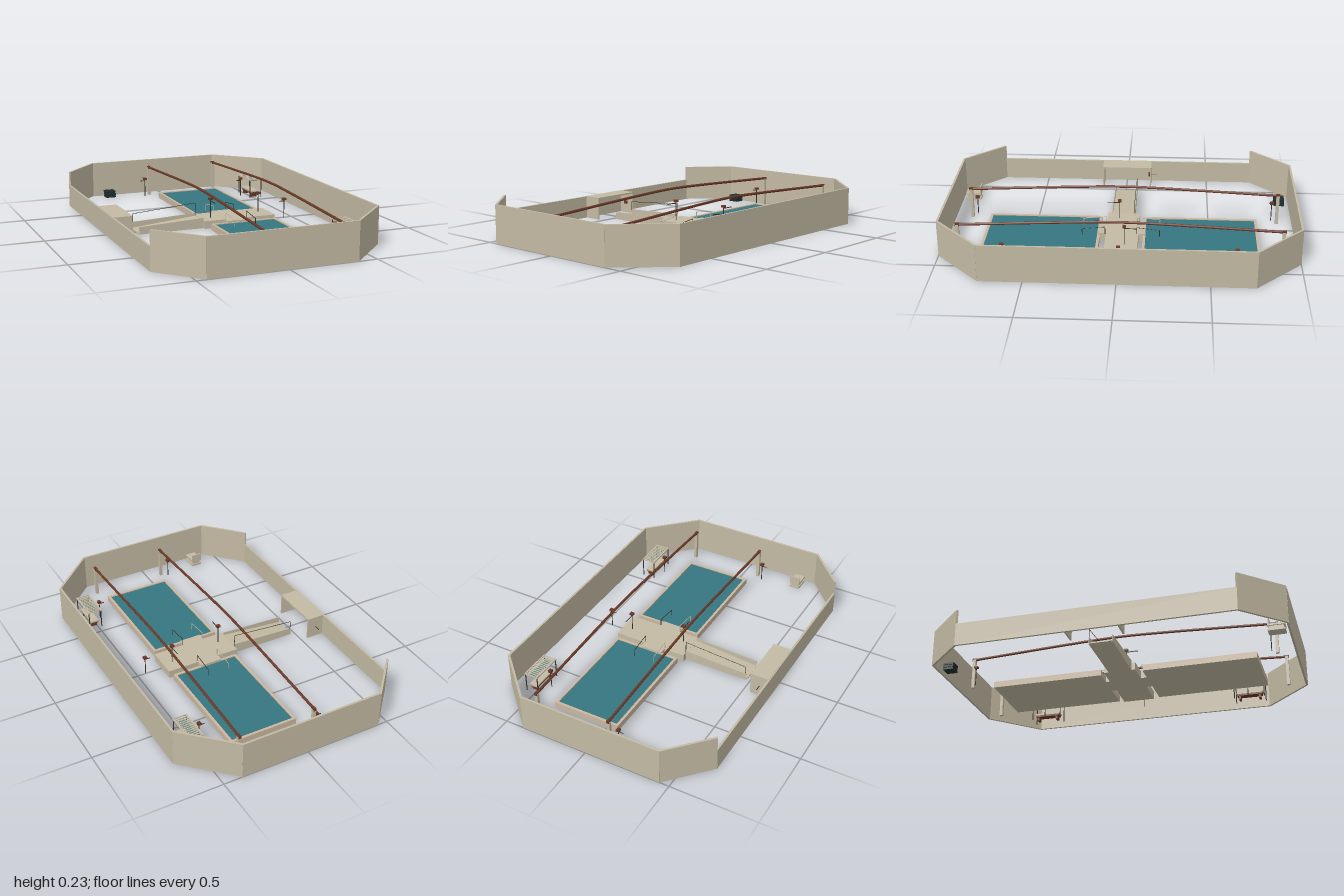
import * as THREE from 'three';

const mat = (name, color) => {
  const m = new THREE.MeshStandardMaterial({ color });
  m.name = name;
  return m;
};

export function createModel() {
  const model = new THREE.Group();
  model.name = 'poolCourt';
  const stone = mat('stone', 0xc3baa3);
  const coping = mat('coping', 0xcbb79f);
  const water = mat('water', 0x367681);
  const rust = mat('rust', 0x6b3826);
  const iron = mat('iron', 0x38322c);
  const darkGreen = mat('darkGreen', 0x1f2e2c);

  const group = (name, x = 0, y = 0, z = 0, parent = model) => {
    const g = new THREE.Group();
    g.name = name;
    g.position.set(x, y, z);
    parent.add(g);
    return g;
  };
  const add = (name, geo, m, parent = model) => {
    const mesh = new THREE.Mesh(geo, m);
    mesh.name = name;
    parent.add(mesh);
    return mesh;
  };
  // Box given by its lower and upper limits on each axis
  const box = (name, m, [x0, x1], [y0, y1], [z0, z1], parent = model) => {
    const b = add(name, new THREE.BoxGeometry(x1 - x0, y1 - y0, z1 - z0), m, parent);
    b.position.set((x0 + x1) / 2, (y0 + y1) / 2, (z0 + z1) / 2);
    return b;
  };
  // Thin round bar between two points
  const rod = (name, m, a, b, r, parent = model) => {
    const p = new THREE.Vector3(...a), q = new THREE.Vector3(...b);
    const bar = add(name, new THREE.CylinderGeometry(r, r, p.distanceTo(q), 6), m, parent);
    bar.position.copy(p).add(q).multiplyScalar(0.5);
    bar.quaternion.setFromUnitVectors(new THREE.Vector3(0, 1, 0), q.sub(p).normalize());
    return bar;
  };

  // Perimeter walls, the one on the model's right being lower
  const corners = [[-0.649, -0.77], [-0.442, -0.994], [0.39, -0.994], [0.649, -0.74],
    [0.649, 0.74], [0.39, 0.994], [-0.442, 0.994], [-0.649, 0.77]];
  const walls = group('perimeterWalls');
  corners.forEach(([x0, z0], i) => {
    const [x1, z1] = corners[(i + 1) % corners.length];
    const h = i === 7 ? 0.13 : 0.215;
    const w = add(i === 7 ? 'lowWall' : 'wall',
      new THREE.BoxGeometry(Math.hypot(x1 - x0, z1 - z0) + 0.004, h, 0.012), stone, walls);
    w.position.set((x0 + x1) / 2, h / 2, (z0 + z1) / 2);
    w.rotation.y = -Math.atan2(z1 - z0, x1 - x0);
  });

  // Two pools, each with a floor, a coping and water
  for (const [z0, z1] of [[-0.78, -0.125], [0.12, 0.775]]) {
    const pool = group('pool');
    const x0 = -0.065, x1 = 0.335, t = 0.015;
    box('poolFloor', stone, [x0, x1], [0, 0.006], [z0, z1], pool);
    for (const x of [x0, x1 - t]) box('sideCoping', coping, [x, x + t], [0.006, 0.036], [z0, z1], pool);
    for (const z of [z0, z1 - t]) box('endCoping', coping, [x0 + t, x1 - t], [0.006, 0.036], [z, z + t], pool);
    box('water', water, [x0 + t, x1 - t], [0.006, 0.031], [z0 + t, z1 - t], pool);
  }

  // Cross-shaped central platform
  const cross = new THREE.Shape([[-0.09, -0.085], [0.035, -0.085], [0.035, -0.13], [0.165, -0.13],
    [0.165, -0.085], [0.35, -0.085], [0.35, 0.1], [0.165, 0.1], [0.165, 0.14], [0.035, 0.14],
    [0.035, 0.1], [-0.09, 0.1]].map(p => new THREE.Vector2(...p)));
  add('platform', new THREE.ExtrudeGeometry(cross, { depth: 0.045, bevelEnabled: false }), stone)
    .rotation.x = -Math.PI / 2;

  // Sloping walkway with clipped end corners and thin side curbs
  const plan = new THREE.Shape([[-0.48, -0.05], [-0.47, -0.062], [-0.09, -0.062], [-0.09, 0.068],
    [-0.47, 0.068], [-0.48, 0.056]].map(p => new THREE.Vector2(...p)));
  const rampGeo = new THREE.ExtrudeGeometry(plan, { depth: 1, bevelEnabled: false });
  rampGeo.rotateX(-Math.PI / 2);
  const rp = rampGeo.attributes.position;
  for (let i = 0; i < rp.count; i++) {
    if (rp.getY(i) > 0.5) rp.setY(i, 0.008 + 0.036 * (rp.getX(i) + 0.48) / 0.39);
  }
  rampGeo.computeVertexNormals();
  add('ramp', rampGeo, stone);
  const curb = new THREE.Shape([[-0.475, 0], [-0.09, 0], [-0.09, 0.06], [-0.475, 0.042]]
    .map(p => new THREE.Vector2(...p)));
  for (const z of [-0.071, 0.06]) {
    add('rampCurb', new THREE.ExtrudeGeometry(curb, { depth: 0.003, bevelEnabled: false }), stone)
      .position.z = z;
  }
  const rail = group('rampHandrail');
  rod('railBar', iron, [-0.47, 0.09, -0.069], [-0.09, 0.12, -0.069], 0.0015, rail);
  rod('railPost', iron, [-0.47, 0.02, -0.069], [-0.47, 0.09, -0.069], 0.0015, rail);
  rod('railPost', iron, [-0.09, 0.04, -0.069], [-0.09, 0.12, -0.069], 0.0015, rail);

  // Handrails reaching from the platform over the pools
  for (const s of [-1, 1]) {
    for (const [x, m] of [[0.165, iron], [0.037, stone]]) {
      const r = group('poolHandrail', x);
      rod('railBar', m, [0, 0.085, s * 0.09], [0, 0.07, s * 0.22], 0.002, r);
      rod('railPost', m, [0, 0.04, s * 0.09], [0, 0.085, s * 0.09], 0.002, r);
      rod('railPost', m, [0, 0.03, s * 0.22], [0, 0.07, s * 0.22], 0.002, r);
    }
  }

  // Two gently arched overhead beams on end posts
  const arch = [[-0.91, 0.18], [-0.6, 0.195], [-0.3, 0.209], [-0.07, 0.217],
    [0.07, 0.217], [0.3, 0.209], [0.6, 0.195], [0.9, 0.18]];
  for (const x of [-0.09, 0.358]) {
    const frame = group('overheadBeam', x);
    const path = new THREE.CatmullRomCurve3(arch.map(([z, y]) => new THREE.Vector3(0, y, z)));
    add('beam', new THREE.TubeGeometry(path, 28, 0.0075, 8), rust, frame);
    for (const z of [-0.9, 0.892]) {
      box('beamPost', stone, [-0.009, 0.009], [0, 0.18], [z - 0.009, z + 0.009], frame);
      box('beamCap', rust, [-0.008, 0.008], [0.173, 0.188], [z - 0.012, z + 0.012], frame);
    }
  }

  // Standing lamps: pole, side arm and small head
  const lamp = (x, y, z, turn, arm) => {
    const g = group('lamp', x, y, z);
    g.rotation.y = turn;
    rod('lampPole', iron, [0, 0, 0], [0, 0.11, 0], 0.0025, g);
    rod('lampArm', iron, [-arm, 0.1, 0], [0, 0.1, 0], 0.0025, g);
    box('lampHead', rust, [-0.01, 0.01], [0.106, 0.118], [-0.011, 0.011], g);
  };
  for (const z of [-0.645, 0, 0.637]) lamp(0.45, 0, z, 0, 0.03);
  for (const z of [-0.87, 0.865]) lamp(-0.128, 0, z, 0, 0.03);
  lamp(-0.028, 0.045, 0.016, Math.PI / 2, 0.07);
  lamp(0.293, 0.045, -0.026, -Math.PI / 2, 0.07);

  // Slatted canopies over benches
  for (const z of [-0.645, 0.64]) {
    const g = group('canopyBench', 0.516, 0, z);
    for (const x of [-0.038, 0.038]) {
      for (const e of [-0.09, 0.09]) rod('canopyPost', iron, [x, 0, e], [x, 0.115, e], 0.003, g);
      box('canopySideRail', stone, [x - 0.004, x + 0.004], [0.112, 0.12], [-0.095, 0.095], g);
    }
    for (let i = 0; i < 13; i++) {
      const c = -0.09 + i * 0.015;
      box('canopySlat', stone, [-0.04, 0.04], [0.115, 0.12], [c - 0.003, c + 0.003], g);
    }
    box('canopyPanel', water, [-0.018, 0.018], [0.107, 0.11], [-0.075, 0.075], g);
    box('benchSeat', stone, [-0.025, 0.025], [0.032, 0.042], [-0.08, 0.08], g);
    box('benchUnderframe', rust, [-0.022, 0.022], [0.022, 0.032], [-0.075, 0.075], g);
    for (const e of [-0.06, 0.06]) {
      box('benchLeg', rust, [-0.018, 0.018], [0, 0.022], [e - 0.006, e + 0.006], g);
    }
  }

  // Open shelter against the low wall, with a small wall fitting
  const shelter = group('shelter');
  box('shelterRoof', stone, [-0.65, -0.54], [0.122, 0.132], [-0.153, 0.147], shelter);
  for (const z of [-0.153, 0.139]) {
    box('shelterEnd', stone, [-0.643, -0.54], [0, 0.122], [z, z + 0.008], shelter);
  }
  box('fitting', rust, [-0.605, -0.585], [0.055, 0.075], [-0.145, -0.135], shelter);
  rod('fittingPipe', iron, [-0.595, 0.065, -0.19], [-0.595, 0.065, -0.135], 0.002, shelter);

  // Dark slatted crate
  const crate = group('crate', -0.347, 0, -0.932);
  for (let i = 0; i < 3; i++) {
    box('crateLayer', darkGreen, [-0.031, 0.031], [i * 0.015, i * 0.015 + 0.011], [-0.031, 0.031], crate);
  }
  box('crateCore', darkGreen, [-0.026, 0.026], [0.002, 0.039], [-0.026, 0.026], crate);

  // Stone seat with shelf and upright panel
  const seat = group('stoneSeat', -0.347, 0, 0.925);
  box('seatBase', stone, [-0.031, 0.031], [0, 0.012], [-0.045, 0.048], seat);
  box('seatShelf', stone, [-0.031, 0.031], [0.03, 0.04], [-0.045, 0.048], seat);
  box('seatCore', stone, [-0.024, 0.024], [0.012, 0.03], [-0.04, 0.04], seat);
  box('seatBack', stone, [-0.031, 0.031], [0.04, 0.08], [-0.045, -0.038], seat);
  return model;
}
